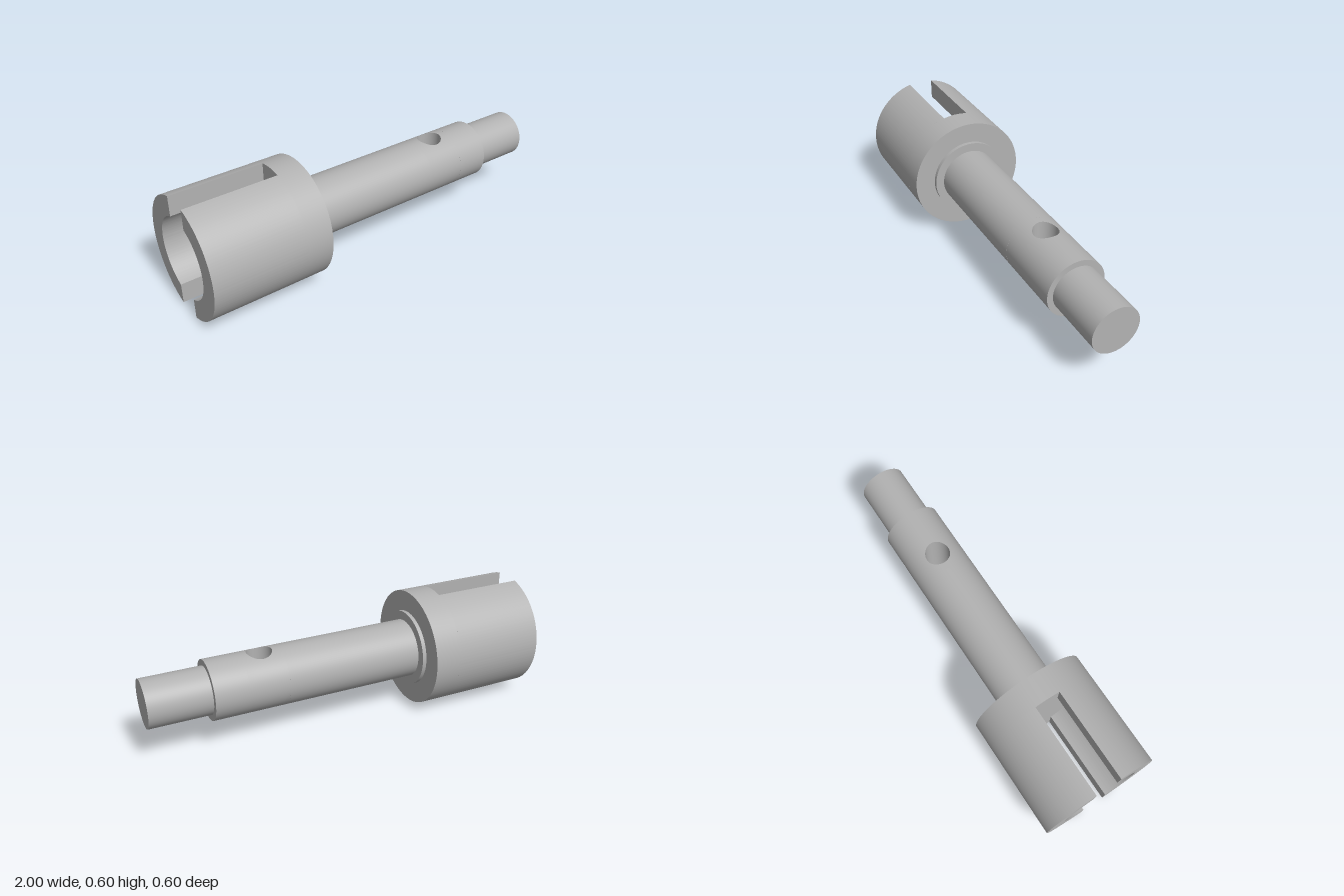
import * as THREE from 'three';
import { toCreasedNormals } from 'three/addons/utils/BufferGeometryUtils.js';

const AXIS_Y = 0.3;
const SHAFT_R = 0.15;
const HOLE = { x: 0.425, r: 0.063, halfLength: 0.1 };
const STEPS = 96;

// Grid surface from point(u, v) -> { p, n }, with i along the rows and j around
function gridSurface(rows, cols, point) {
  const pos = [], nor = [], idx = [];
  for (let i = 0; i <= rows; i++) {
    for (let j = 0; j <= cols; j++) {
      const { p, n } = point(i / rows, (j / cols) * Math.PI * 2);
      pos.push(...p);
      nor.push(...n);
      if (i < rows && j < cols) {
        const a = i * (cols + 1) + j, b = a + cols + 1;
        idx.push(a, a + 1, b, b, a + 1, b + 1);
      }
    }
  }
  const g = new THREE.BufferGeometry();
  g.setAttribute('position', new THREE.Float32BufferAttribute(pos, 3));
  g.setAttribute('normal', new THREE.Float32BufferAttribute(nor, 3));
  g.setIndex(idx);
  return g;
}

// Upper half of the shaft skin, running from the hole's rim to a rectangle in (x, angle)
function drilledSkin() {
  return gridSurface(14, STEPS, (u, t) => {
    const c = Math.cos(t), s = Math.sin(t), m = Math.max(Math.abs(c), Math.abs(s));
    const rimAngle = Math.asin((HOLE.r * s) / SHAFT_R);
    const dx = THREE.MathUtils.lerp(HOLE.r * c, (HOLE.halfLength * c) / m, u);
    const phi = THREE.MathUtils.lerp(rimAngle, ((Math.PI / 2) * s) / m, u);
    const n = [0, Math.cos(phi), Math.sin(phi)];
    return { p: [HOLE.x + dx, n[1] * SHAFT_R, n[2] * SHAFT_R], n };
  });
}

// Wall of the cross hole, facing inwards
function holeWall() {
  return gridSurface(1, STEPS, (u, t) => {
    const c = Math.cos(t), s = Math.sin(t), z = HOLE.r * s;
    const y = Math.sqrt(SHAFT_R ** 2 - z ** 2) * (2 * u - 1);
    return { p: [HOLE.x + HOLE.r * c, y, z], n: [-c, 0, -s] };
  });
}

// One jaw of the slotted cup: a ring sector extruded along -x
function jawGeometry(outer, inner, slotHalf, depth) {
  const a = Math.acos(slotHalf / outer), b = Math.acos(slotHalf / inner);
  const shape = new THREE.Shape();
  shape.absarc(0, 0, outer, -a, a, false);
  shape.absarc(0, 0, inner, b, -b, true);
  shape.closePath();
  const g = new THREE.ExtrudeGeometry(shape, { depth, bevelEnabled: false, curveSegments: 64 });
  g.rotateY(-Math.PI / 2);
  return toCreasedNormals(g, 0.5);
}

export function createModel() {
  const steel = new THREE.MeshStandardMaterial({ color: 0xb2b2b2 });
  steel.name = 'steelGrey';
  steel.side = THREE.DoubleSide;

  const model = new THREE.Group();
  model.name = 'slottedDriveShaft';

  function add(name, geometry, x = 0) {
    const mesh = new THREE.Mesh(geometry, steel);
    mesh.name = name;
    mesh.position.set(x, AXIS_Y, 0);
    model.add(mesh);
    return mesh;
  }

  // Solid round sections along the axis
  const sections = [
    ['cupBase', 0.3, -0.53, -0.395],
    ['collar', 0.195, -0.395, -0.375],
    ['shaftInner', SHAFT_R, -0.375, HOLE.x - HOLE.halfLength],
    ['shaftOuter', SHAFT_R, HOLE.x + HOLE.halfLength, 0.695],
    ['shaftTip', 0.12, 0.695, 1],
  ];
  for (const [name, r, x0, x1] of sections) {
    const g = new THREE.CylinderGeometry(r, r, x1 - x0, STEPS);
    g.rotateZ(-Math.PI / 2);
    add(name, g, (x0 + x1) / 2);
  }

  // Two cup jaws either side of the slot
  const jaw = jawGeometry(0.3, 0.2, 0.066, 0.47);
  add('cupJawFront', jaw, -0.53);
  add('cupJawBack', jaw, -0.53).rotation.x = Math.PI;

  // Drilled length of the shaft
  const skin = drilledSkin();
  add('drilledShaftTop', skin);
  add('drilledShaftBottom', skin).rotation.x = Math.PI;
  add('crossHoleWall', holeWall());

  return model;
}
